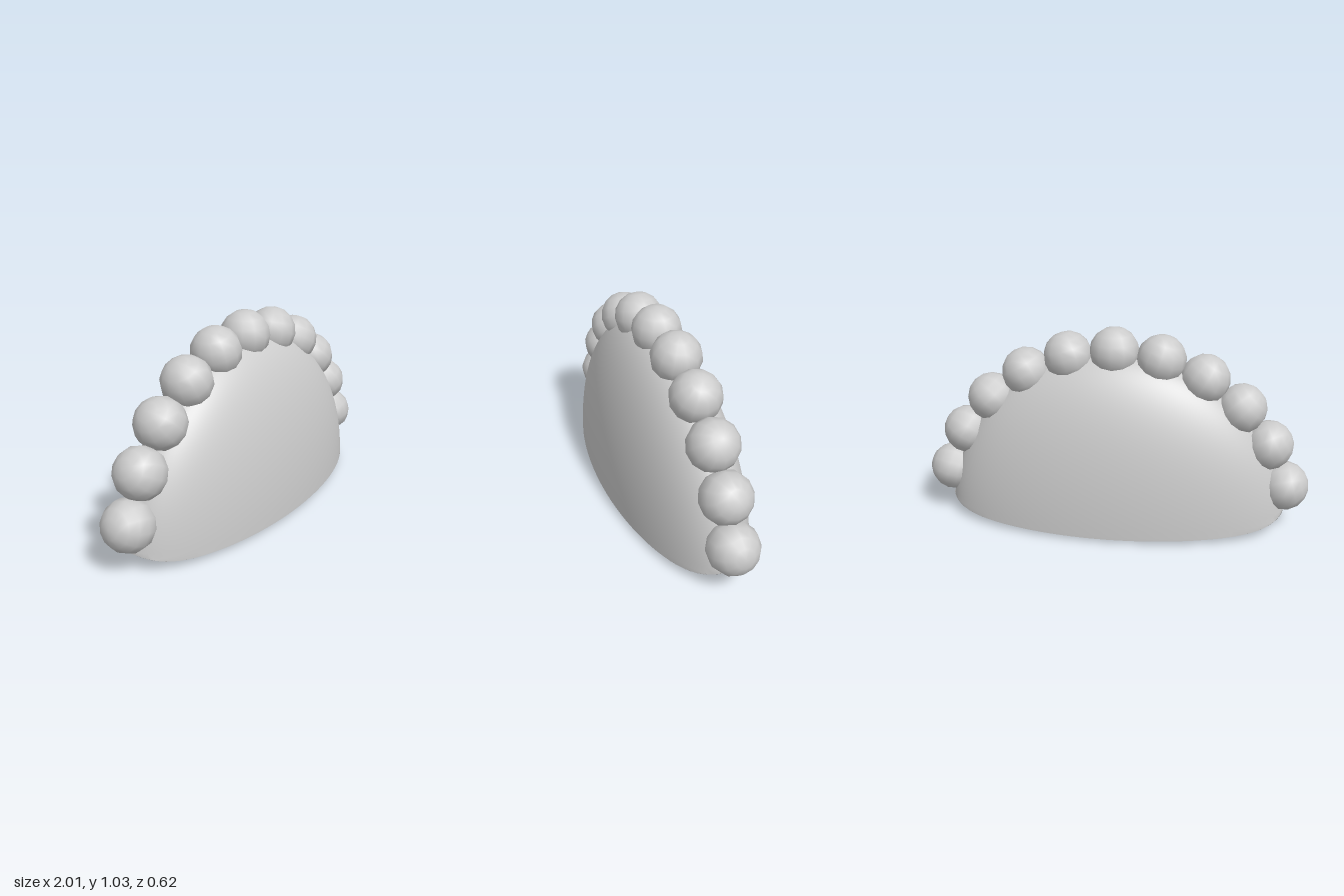
import * as THREE from 'three';
import { mergeVertices } from 'three/addons/utils/BufferGeometryUtils.js';

const R = 0.885, DEPTH = 0.312;

// Half-ellipsoid body: everything below a shallow bowl-shaped floor is pressed onto it.
function bodyGeometry() {
  const geo = new THREE.SphereGeometry(1, 96, 80);
  geo.deleteAttribute('uv');
  geo.deleteAttribute('normal');
  const pos = geo.attributes.position;
  for (let i = 0; i < pos.count; i++) {
    const x = pos.getX(i), y = pos.getY(i), z = pos.getZ(i);
    const floor = 0.003 + 0.045 * x * x + 0.05 * Math.pow(x, 12) + 0.015 * z * z;
    pos.setXYZ(i, x * R, Math.max(y * 0.89, floor), z * DEPTH);
  }
  const merged = mergeVertices(geo, 1e-5);
  merged.computeVertexNormals();
  return merged;
}

export function createModel() {
  const model = new THREE.Group();
  model.name = 'dumpling';
  const dough = new THREE.MeshStandardMaterial({ color: 0xcccccc });
  dough.name = 'dough';

  const body = new THREE.Mesh(bodyGeometry(), dough);
  body.name = 'body';
  model.add(body);

  // Row of round crimps along the arched edge
  const crimps = new THREE.Group();
  crimps.name = 'crimps';
  const bead = new THREE.SphereGeometry(0.127, 12, 8);
  for (let i = -5; i <= 5; i++) {
    const a = THREE.MathUtils.degToRad(i * 15);
    const crimp = new THREE.Mesh(bead, dough);
    crimp.name = 'crimp';
    crimp.position.set(0.908 * Math.sin(a), 0.908 * Math.cos(a), 0);
    crimp.rotation.z = -a;
    crimps.add(crimp);
  }
  model.add(crimps);
  return model;
}
